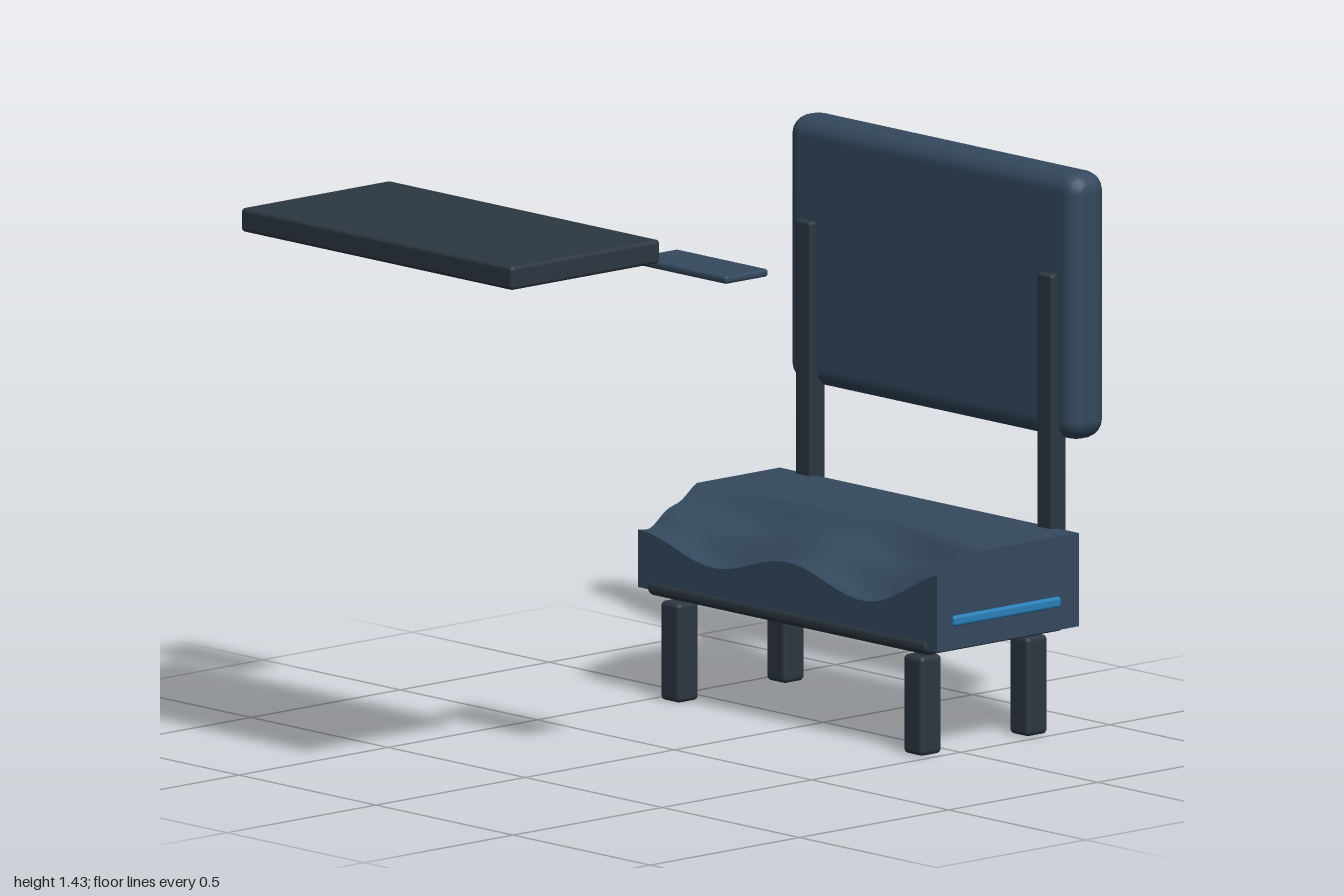
import * as THREE from 'three';
import { RoundedBoxGeometry } from 'three/addons/geometries/RoundedBoxGeometry.js';

const material = (color) => new THREE.MeshStandardMaterial({ color });
const main = material(0x34495e);
const dark = material(0x2d3741);
const accent = material(0x2980b9);

// Rounded box given by its extents along each axis
function block(name, mat, [x0, x1], [y0, y1], [z0, z1], radius, segments = 2) {
  const geometry = new RoundedBoxGeometry(x1 - x0, y1 - y0, z1 - z0, segments, radius);
  const mesh = new THREE.Mesh(geometry, mat);
  mesh.name = name;
  mesh.position.set((x0 + x1) / 2, (y0 + y1) / 2, (z0 + z1) / 2);
  return mesh;
}

// Height of the sculpted seat: flat at the back, falling to a wavy front edge
function seatHeight(x, z) {
  const u = x / 0.545;
  const right = Math.max(0, u);
  const left = Math.max(0, -u);
  const front = 0.392 + 0.0275 * Math.cos(2 * Math.PI * u) + 0.05 * Math.max(0, 2 * u - 1) ** 2;
  const start = -0.67 + 0.15 * right ** 2 + 0.06 * left ** 2;
  const end = -0.39 - 0.08 * right ** 4;
  const t = THREE.MathUtils.clamp((z - start) / (end - start), 0, 1);
  // two soft steps down
  const drop = t * t * (3 - 2 * t) - 0.07 * Math.sin(4 * Math.PI * t) * (1 - right ** 4);
  return Math.min(0.51, 0.51 - (0.51 - front) * drop);
}

function makeSeat() {
  const geometry = new THREE.BoxGeometry(1.09, 0.235, 0.475, 64, 1, 36);
  geometry.translate(0, 0.3925, -0.6175);
  const p = geometry.attributes.position;
  for (let i = 0; i < p.count; i++) {
    if (p.getY(i) > 0.4) p.setY(i, seatHeight(p.getX(i), p.getZ(i)));
  }
  geometry.computeVertexNormals();
  const seat = new THREE.Mesh(geometry, main);
  seat.name = 'seat';
  return seat;
}

export function createModel() {
  const model = new THREE.Group();
  model.name = 'chair';

  // Seat and the slab under it
  model.add(makeSeat());
  model.add(block('seatBase', dark, [-0.515, 0.515], [0.26, 0.3], [-0.845, -0.375], 0.018));

  // Backrest with its rear light strip
  model.add(block('backrest', main, [-0.53, 0.53], [0.73, 1.405], [-0.975, -0.855], 0.05));
  model.add(block('backStrip', accent, [-0.36, 0.36], [1.07, 1.12], [-1, -0.98], 0.008));

  // Raised tray panel in front
  model.add(block('tray', dark, [-0.495, 0.495], [1.37, 1.43], [0.5, 1], 0.01));

  // Paired parts
  for (const [side, s] of [['left', 1], ['right', -1]]) {
    const span = (a, b) => (s > 0 ? [a, b] : [-b, -a]);
    model.add(block(side + 'FrontLeg', dark, span(0.408, 0.478), [0, 0.25], [-0.46, -0.39], 0.012));
    model.add(block(side + 'RearLeg', dark, span(0.408, 0.478), [0, 0.25], [-0.815, -0.745], 0.012));
    model.add(block(side + 'BackPost', dark, span(0.412, 0.468), [0.38, 1.15], [-0.886, -0.834], 0.008));
    model.add(block(side + 'SideStrip', accent, span(0.535, 0.555), [0.333, 0.36], [-0.79, -0.43], 0.008));
    model.add(block(side + 'Armrest', main, span(0.353, 0.688), [1.34, 1.36], [0.315, 0.46], 0.008));
  }
  return model;
}
